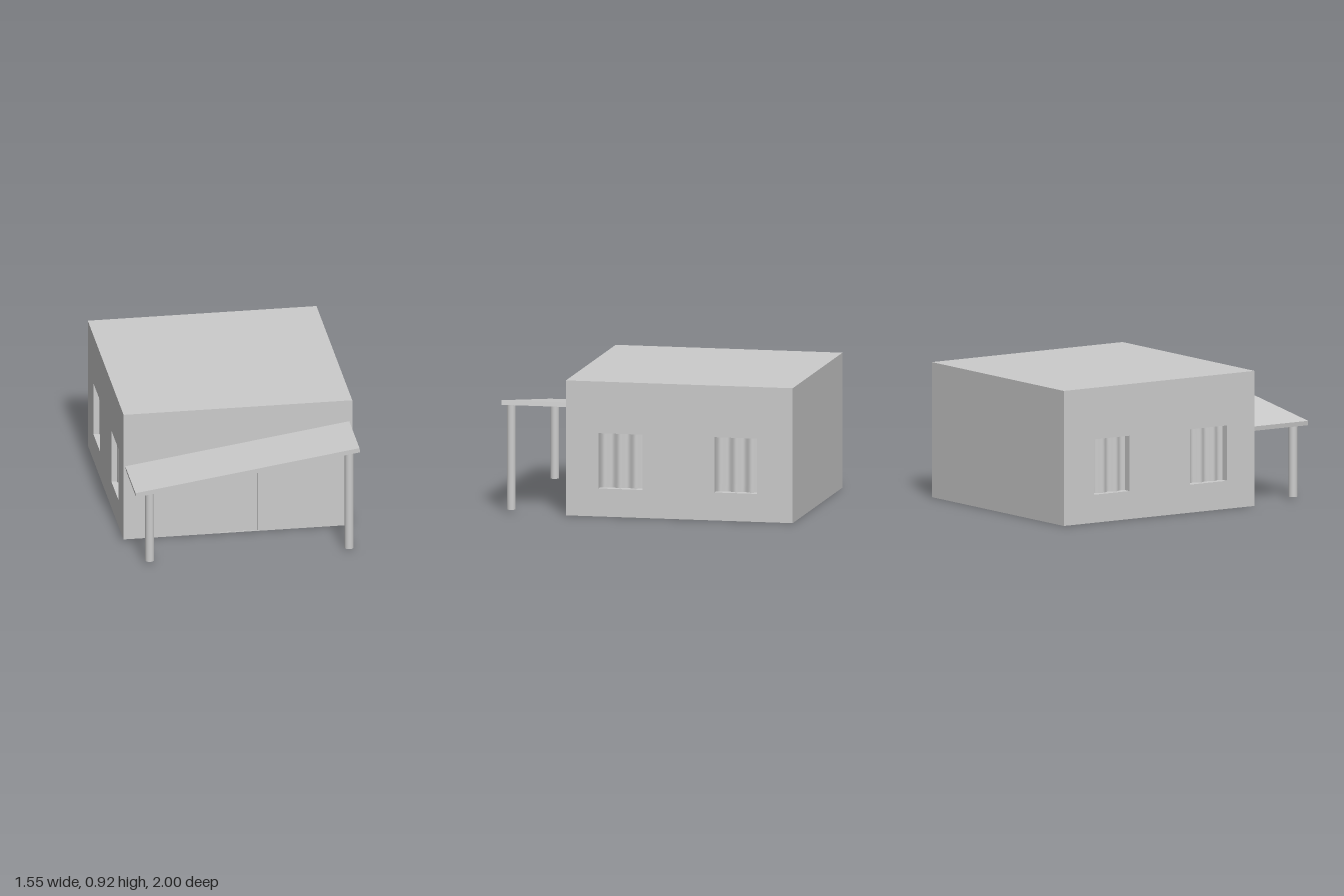
import * as THREE from 'three';

const WIDTH = 1.55, HEIGHT = 0.915, BACK = -1, FRONT = 0.555, FACE = 0.008;
const SILL = 0.19, HEAD = 0.565;
const WINDOWS = [[0.03, 0.33], [-0.755, -0.465]]; // z ranges

const material = new THREE.MeshStandardMaterial({ color: 0xcccccc });
const cloth = new THREE.MeshStandardMaterial({ color: 0xcccccc, side: THREE.DoubleSide });

function rect(Type, x0, y0, x1, y1) {
  const r = new Type();
  r.moveTo(x0, y0);
  r.lineTo(x1, y0);
  r.lineTo(x1, y1);
  r.lineTo(x0, y1);
  r.closePath();
  return r;
}

// A pleated sheet hanging in a window, spanning z0..z1
function curtainGeometry(z0, z1) {
  const w = z1 - z0, h = HEAD - SILL;
  const geo = new THREE.PlaneGeometry(w, h, 48, 6);
  const p = geo.attributes.position;
  for (let i = 0; i < p.count; i++) {
    const s = (p.getX(i) + w / 2) / 0.107;
    p.setZ(i, 0.012 * Math.sin(s * Math.PI * 2));
  }
  geo.computeVertexNormals();
  geo.rotateY(Math.PI / 2);
  geo.translate(0, (SILL + HEAD) / 2, (z0 + z1) / 2);
  return geo;
}

export function createModel() {
  const house = new THREE.Group();
  house.name = 'house';
  const add = (name, geometry, mat = material) => {
    const mesh = new THREE.Mesh(geometry, mat);
    mesh.name = name;
    house.add(mesh);
    return mesh;
  };

  // Main block, with window openings cut through both side walls
  const side = rect(THREE.Shape, BACK, 0, FRONT - FACE, HEIGHT);
  for (const [z0, z1] of WINDOWS) side.holes.push(rect(THREE.Path, z0, SILL, z1, HEAD));
  const block = new THREE.ExtrudeGeometry(side, { depth: WIDTH, bevelEnabled: false });
  block.rotateY(-Math.PI / 2);
  block.translate(WIDTH / 2, 0, 0);
  add('walls', block);

  // Front skin with the doorway, and the slightly recessed door
  const front = rect(THREE.Shape, -WIDTH / 2, 0, WIDTH / 2, HEIGHT);
  front.holes.push(rect(THREE.Path, -0.135, 0.006, 0.135, 0.43));
  const skin = new THREE.ExtrudeGeometry(front, { depth: FACE, bevelEnabled: false });
  skin.translate(0, 0, FRONT - FACE);
  add('frontWall', skin);
  add('door', new THREE.BoxGeometry(0.27, 0.424, 0.004))
    .position.set(0, 0.218, FRONT - FACE + 0.002);

  // Curtains set back inside every window
  for (const sx of [-1, 1]) {
    for (const [z0, z1] of WINDOWS) {
      add('curtain', curtainGeometry(z0, z1), cloth).position.x = sx * (WIDTH / 2 - 0.05);
    }
  }

  // Sloping porch roof
  const slope = Math.atan2(0.226, 1.518);
  const roof = add('porchRoof', new THREE.BoxGeometry(1.535, 0.031, 1 - FRONT));
  roof.position.set(-0.002, 0.634, (1 + FRONT) / 2);
  roof.rotation.z = slope;

  // Porch posts, reaching up to the roof's underside
  for (const [x, top] of [[-0.66, 0.526], [0.692, 0.727]]) {
    const h = top - 0.015;
    add('porchPost', new THREE.CylinderGeometry(0.03, 0.03, h, 32))
      .position.set(x, 0.015 + h / 2, 0.948);
  }

  return house;
}
